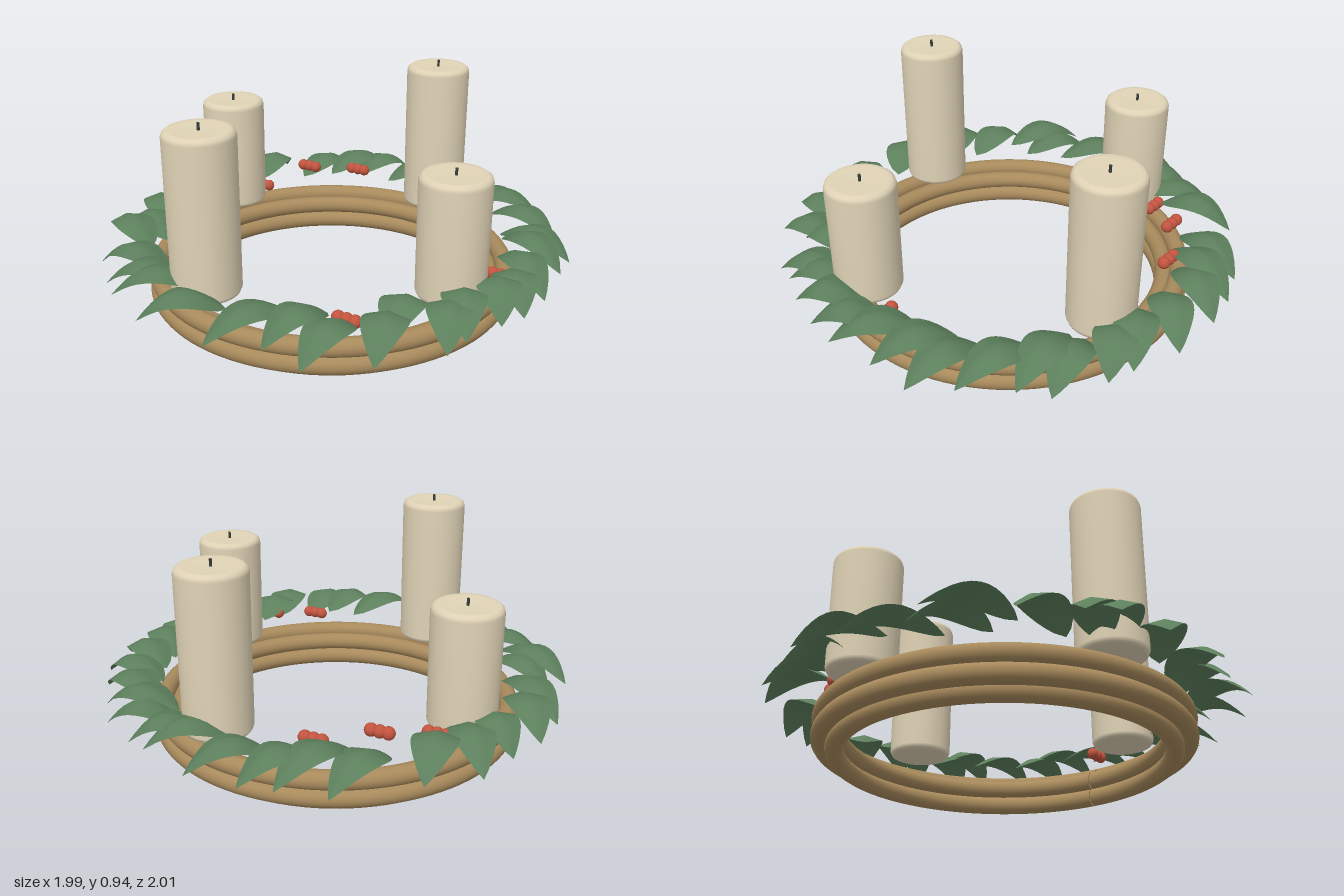
import * as THREE from 'three';

const mat = (name, color, side = THREE.FrontSide) => {
  const m = new THREE.MeshStandardMaterial({ color, side });
  m.name = name;
  return m;
};

// Ovate leaf of unit length along +z: arched lengthwise, halves drooping from the midrib
function leafGeometry() {
  const g = new THREE.PlaneGeometry(2, 1, 6, 12).rotateX(-Math.PI / 2);
  const p = g.attributes.position;
  for (let i = 0; i < p.count; i++) {
    const s = p.getX(i), t = p.getZ(i) + 0.5;
    const w = 0.09 * Math.pow(Math.max(0, Math.sin(Math.PI * Math.pow(t, 0.88))), 0.85);
    const y = 0.11 * Math.sin(Math.PI * t * 0.85) - 0.085 * t * t;
    p.setXYZ(i, s * w, y - 0.28 * Math.abs(s) * w, t);
  }
  g.computeVertexNormals();
  return g;
}

export function createModel() {
  const model = new THREE.Group();
  const wicker = mat('wicker', 0xa88a5c, THREE.DoubleSide);
  const wax = mat('wax', 0xe0d3b6);
  const wickDark = mat('wick', 0x36403a);
  const green = mat('leaf green', 0x5c7f5c, THREE.DoubleSide);
  const red = mat('berry red', 0xc2543f);

  const add = (parent, name, geo, material, x, y, z) => {
    const m = new THREE.Mesh(geo, material);
    m.name = name;
    m.position.set(x, y, z);
    parent.add(m);
    return m;
  };

  // Ring of four packed coils, each with a hairline joint at +x
  const ring = new THREE.Group();
  ring.name = 'ring';
  model.add(ring);
  for (const [r, y] of [[0.765, 0.158], [0.765, 0.082], [0.702, 0.12], [0.704, 0.04]]) {
    const coil = new THREE.TorusGeometry(r, 0.04, 16, 96, Math.PI * 2 - 0.005).rotateX(Math.PI / 2);
    add(ring, 'coil', coil, wicker, 0, y, 0);
  }

  // Candles with rounded rims
  for (const [x, z, top] of [[0.2, -0.66, 0.92], [-0.655, -0.205, 0.75], [-0.2, 0.655, 0.92], [0.655, 0.2, 0.75]]) {
    const candle = new THREE.Group();
    candle.name = 'candle';
    candle.position.set(x, 0.24, z);
    model.add(candle);
    const h = top - 0.24;
    const profile = [
      [0, 0], [0.122, 0], [0.135, 0.006], [0.142, 0.022], [0.143, h * 0.5], [0.144, h - 0.026],
      [0.139, h - 0.01], [0.126, h], [0.11, h - 0.002], [0, h - 0.005],
    ].map(([r, y]) => new THREE.Vector2(r, y));
    add(candle, 'candleBody', new THREE.LatheGeometry(profile, 40), wax, 0, 0, 0);
    add(candle, 'wick', new THREE.CylinderGeometry(0.006, 0.006, 0.04, 8), wickDark, 0, h + 0.004, 0);
  }

  // Leaves: base x, z then tip x, z, clockwise around the ring
  const leaves = [
    [-0.5, -0.59, -0.41, -0.91], [-0.36, -0.64, -0.23, -0.98], [-0.26, -0.72, -0.09, -1.0],
    [-0.09, -0.75, 0.14, -0.99], [0.09, -0.75, 0.36, -0.93], [0.2, -0.75, 0.46, -0.89],
    [0.35, -0.7, 0.65, -0.78], [0.39, -0.65, 0.73, -0.68], [0.53, -0.59, 0.86, -0.5],
    [0.64, -0.41, 0.97, -0.35], [0.68, -0.33, 0.98, -0.18], [0.73, -0.19, 0.99, 0.05],
    [0.79, -0.05, 0.96, 0.2], [0.79, 0.08, 0.92, 0.34], [0.7, 0.2, 0.84, 0.49],
    [0.69, 0.29, 0.81, 0.59], [0.58, 0.38, 0.61, 0.66], [0.55, 0.5, 0.63, 0.81],
    [0.44, 0.62, 0.41, 0.94], [0.34, 0.63, 0.24, 0.92], [0.22, 0.67, 0.03, 0.99],
    [-0.03, 0.76, -0.31, 0.95], [-0.2, 0.69, -0.5, 0.87], [-0.29, 0.67, -0.6, 0.79],
    [-0.43, 0.6, -0.77, 0.63], [-0.6, 0.51, -0.94, 0.35], [-0.6, 0.4, -0.89, 0.25],
    [-0.7, 0.26, -0.99, 0],
    [-0.79, 0.06, -0.98, -0.23], [-0.72, -0.17, -0.91, -0.37], [-0.66, -0.24, -0.85, -0.54],
    [-0.64, -0.39, -0.69, -0.72],
  ];
  const foliage = new THREE.Group();
  foliage.name = 'foliage';
  model.add(foliage);
  const leafGeo = leafGeometry();
  leaves.forEach(([bx, bz, tx, tz], i) => {
    const leaf = add(foliage, 'leaf', leafGeo, green, bx, 0.252 + 0.012 * ((i * 2) % 3), bz);
    leaf.rotation.y = Math.atan2(tx - bx, tz - bz);
    leaf.scale.z = Math.hypot(tx - bx, tz - bz) + 0.01;
  });

  // Berries in rows of three
  const berryGeo = new THREE.SphereGeometry(0.027, 16, 12);
  for (const [x, y, z] of [[0.415, 0.265, 0.62], [0.58, 0.295, 0.46], [0.755, 0.265, -0.005],
    [-0.61, 0.265, -0.37], [-0.45, 0.33, -0.565], [-0.235, 0.31, -0.69]]) {
    const cluster = new THREE.Group();
    cluster.name = 'berryCluster';
    cluster.position.set(x, y, z);
    model.add(cluster);
    for (const k of [-1, 0, 1]) add(cluster, 'berry', berryGeo, red, k * 0.036, 0, 0);
  }
  return model;
}
